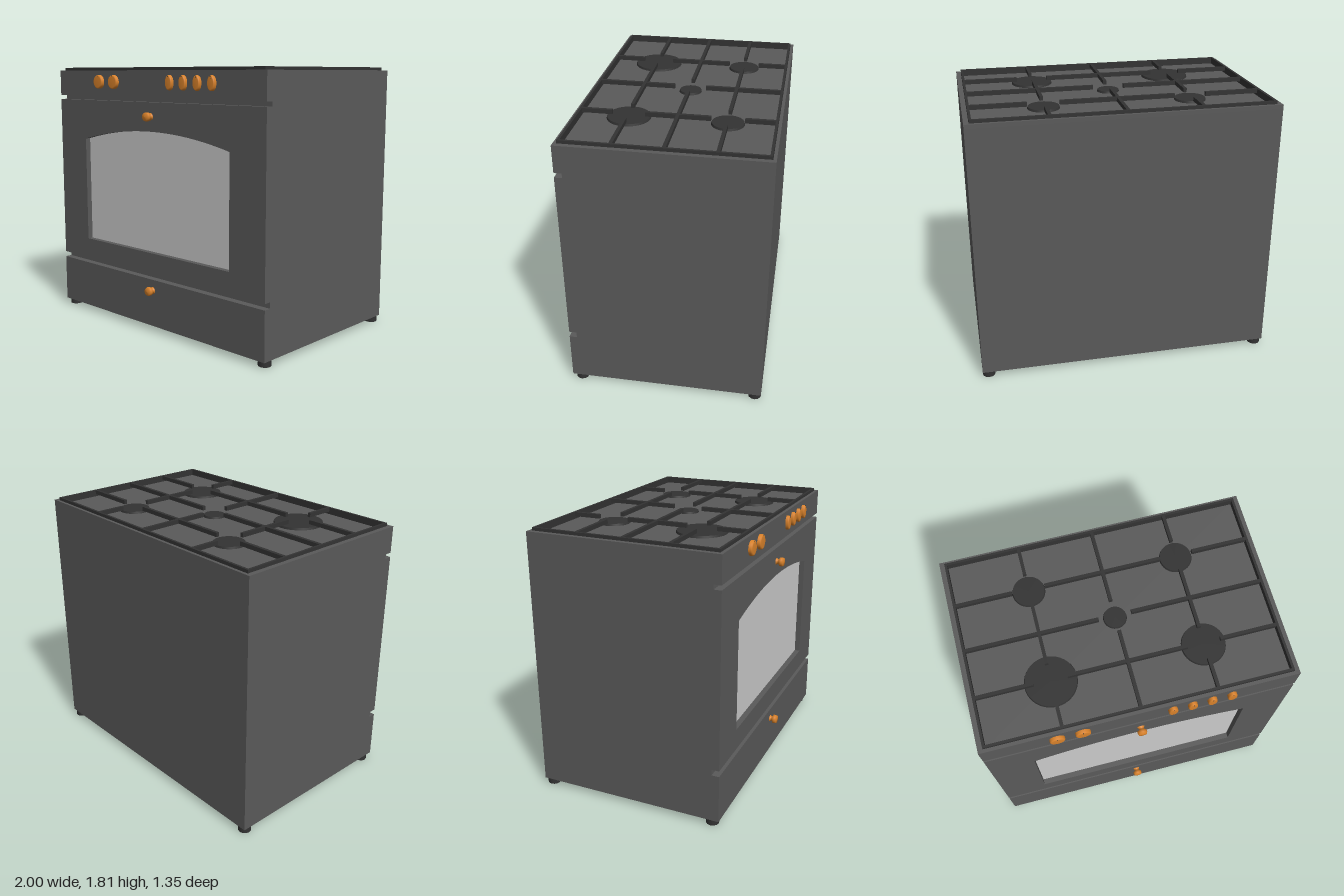
import * as THREE from 'three';

const mat = (color) => new THREE.MeshStandardMaterial({ color });

export function createModel() {
  const stove = new THREE.Group();
  stove.name = 'stove';
  const enamel = mat(0x5a5a5a), iron = mat(0x333333), copper = mat(0xd9822b), glass = mat(0xcccccc);

  const add = (name, geometry, material, x = 0, y = 0, z = 0, parent = stove) => {
    const mesh = new THREE.Mesh(geometry, material);
    mesh.name = name;
    mesh.position.set(x, y, z);
    parent.add(mesh);
    return mesh;
  };
  const box = (name, material, x0, x1, y0, y1, z0, z1) =>
    add(name, new THREE.BoxGeometry(x1 - x0, y1 - y0, z1 - z0), material, (x0 + x1) / 2, (y0 + y1) / 2, (z0 + z1) / 2);
  const polygon = (points, Type = THREE.Shape) => new Type(points.map(([a, b]) => new THREE.Vector2(a, b)));
  const extrude = (shape, depth) => new THREE.ExtrudeGeometry(shape, { depth, bevelEnabled: false, curveSegments: 24 });

  const BACK = -0.675, FRONT = 0.62, CORE = 0.57, PAN = 1.765, RIM = 1.79;

  // Body: side profile with the door recess, swept across the width
  const profile = polygon([[BACK, 0.04], [FRONT, 0.04], [FRONT, 0.37], [CORE, 0.37],
    [CORE, 1.61], [FRONT, 1.61], [FRONT, PAN], [BACK, PAN]]);
  add('body', extrude(profile, 2).rotateY(-Math.PI / 2).translate(1, 0, 0), enamel);

  // Raised rim around the cooktop
  const rect = (x, z0, z1, Type) => polygon([[-x, -z1], [x, -z1], [x, -z0], [-x, -z0]], Type);
  const rim = rect(1, BACK, FRONT);
  rim.holes.push(rect(0.968, -0.655, 0.597, THREE.Path));
  add('cooktopRim', extrude(rim, RIM - PAN).rotateX(-Math.PI / 2), enamel, 0, PAN, 0);

  // Oven door with an arched window
  const arch = (Type) => {
    const p = new Type();
    p.moveTo(-0.71, 0.555);
    p.lineTo(0.71, 0.555);
    p.lineTo(0.71, 1.3);
    p.quadraticCurveTo(0, 1.47, -0.71, 1.3);
    p.lineTo(-0.71, 0.555);
    return p;
  };
  const door = polygon([[-1, 0.41], [1, 0.41], [1, 1.58], [-1, 1.58]]);
  door.holes.push(arch(THREE.Path));
  add('ovenDoor', extrude(door, FRONT - CORE), enamel, 0, 0, CORE);
  add('ovenWindow', extrude(arch(THREE.Shape), 0.012), glass, 0, 0, CORE);

  // Turned knobs: profile is [radius, height], pointing forward
  const turned = (points) =>
    new THREE.LatheGeometry(points.map(([r, h]) => new THREE.Vector2(r, h)), 32).rotateX(Math.PI / 2);
  const pull = turned([[0.024, 0], [0.017, 0.008], [0.017, 0.018], [0.03, 0.025], [0.031, 0.04], [0.026, 0.052], [0, 0.055]]);
  add('doorPull', pull, copper, 0, 1.485, FRONT);
  add('drawerPull', pull, copper, 0, 0.295, FRONT);

  // Control knobs: two round, four narrow
  const dial = turned([[0.048, 0], [0.048, 0.016], [0.045, 0.022], [0.038, 0.025], [0, 0.025]]);
  for (const [x, width] of [[-0.53, 1], [-0.37, 1], [0.195, 0.62], [0.32, 0.62], [0.445, 0.62], [0.572, 0.62]]) {
    const knob = new THREE.Group();
    knob.name = 'controlKnob';
    knob.position.set(x, 1.71, FRONT);
    add('knobBody', dial, copper, 0, 0, 0, knob).scale.x = width;
    add('knobMarker', new THREE.BoxGeometry(0.005, 0.014, 0.008), iron, 0, 0.037, 0.021, knob);
    stove.add(knob);
  }

  // Burners: low caps on the pan
  const X = 0.485, Z = [-0.345, -0.033, 0.28];
  for (const [x, z, r] of [[-X, Z[0], 0.105], [X, Z[0], 0.105], [0, Z[1], 0.075], [-X, Z[2], 0.165], [X, Z[2], 0.14]]) {
    add('burner', new THREE.CylinderGeometry(r - 0.004, r, 0.014, 40), iron, x, PAN + 0.007, z);
  }

  // Grate: outer frame, then bars that stop short of each burner
  const T = 0.011, y0 = 1.782, y1 = 1.81, L = -0.967, R = 0.967, B = -0.653, F = 0.597, GAP = 0.105;
  for (const [a, b] of [[L, L + 0.016], [R - 0.016, R]]) box('grateFrame', iron, a, b, PAN, y1, B, F);
  for (const [a, b] of [[B, B + 0.016], [F - 0.016, F]]) box('grateFrame', iron, L, R, PAN, y1, a, b);
  const spans = (from, to, stops) => {
    const edges = [from, ...stops.flatMap((s) => [s - GAP, s + GAP]), to];
    return edges.flatMap((e, i) => (i % 2 ? [] : [[e, edges[i + 1]]]));
  };
  for (const [i, z] of Z.entries()) {
    for (const [a, b] of spans(L, R, i === 1 ? [0] : [-X, X])) box('grateBar', iron, a, b, y0, y1, z - T, z + T);
  }
  for (const x of [-X, 0, X]) {
    for (const [a, b] of spans(B, F, x === 0 ? [Z[1]] : [Z[0], Z[2]])) box('grateBar', iron, x - T, x + T, y0, y1, a, b);
  }

  // Feet
  for (const x of [-0.956, 0.956]) {
    for (const z of [-0.631, 0.563]) {
      add('foot', new THREE.CylinderGeometry(0.043, 0.043, 0.042, 12), iron, x, 0.021, z);
    }
  }
  return stove;
}
